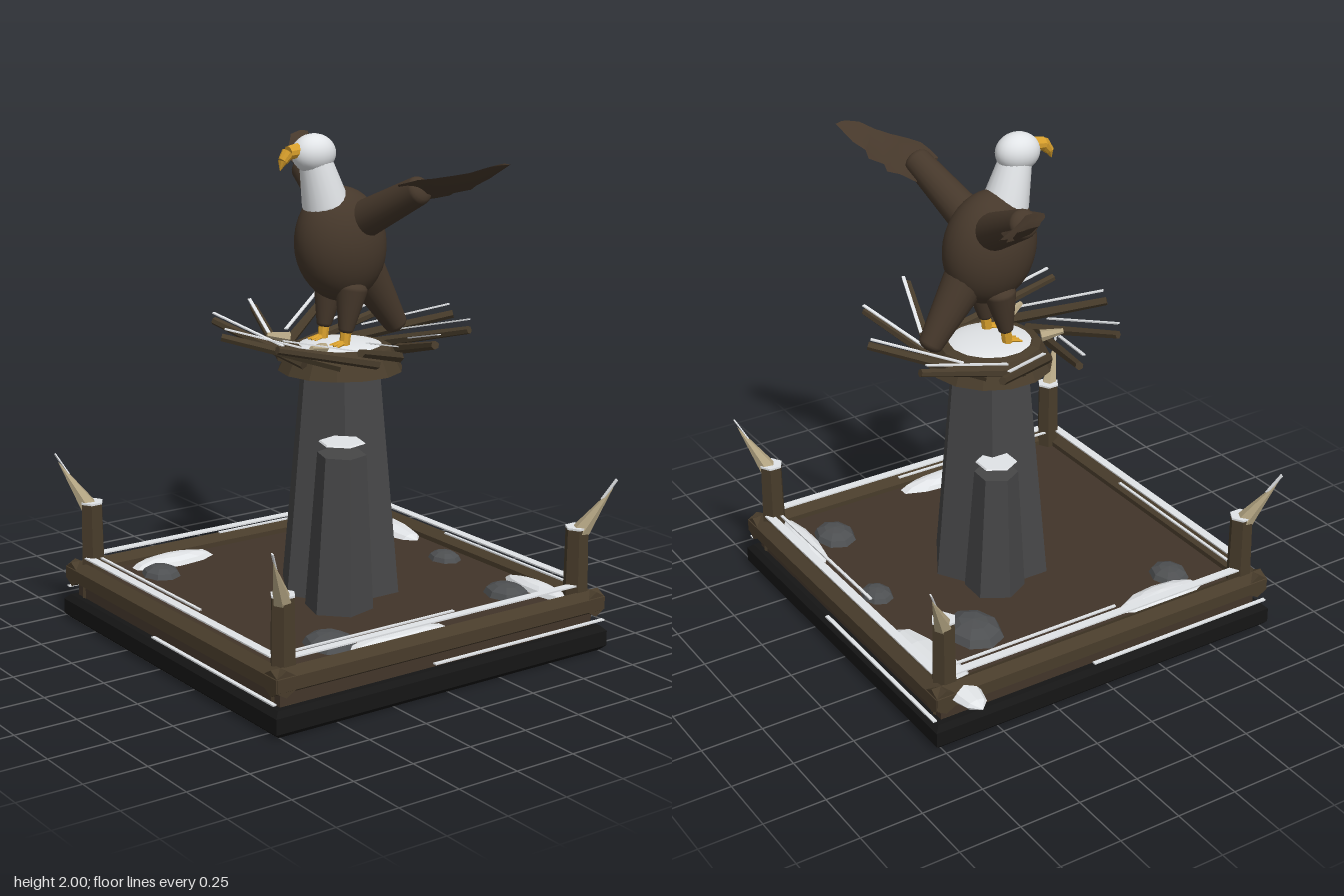
import * as THREE from 'three';
import { toCreasedNormals } from 'three/addons/utils/BufferGeometryUtils.js';

const material = (name, color) => Object.assign(new THREE.MeshStandardMaterial({ color }), { name });
const V = (x, y, z) => new THREE.Vector3(x, y, z);
const flat = (geo) => toCreasedNormals(geo, 0.01);

export function createModel() {
  const model = new THREE.Group();
  const M = {
    slab: material('black stone', 0x151515), soil: material('soil', 0x42352a),
    wood: material('wood', 0x483c2b), stone: material('stone', 0x464647),
    rock: material('rock', 0x4e5052), snow: material('snow white', 0xeef1f4),
    feather: material('brown feathers', 0x46382b), beak: material('yellow', 0xd9a02c),
    bone: material('bone', 0xb5a684),
  };
  const add = (name, geo, mat, pos = V(0, 0, 0), parent = model) => {
    const m = new THREE.Mesh(geo, mat);
    m.name = name;
    m.position.copy(pos);
    parent.add(m);
    return m;
  };
  // Stand a y-aligned mesh between two points
  const aim = (m, p, q) => {
    m.position.copy(p).lerp(q, 0.5);
    m.quaternion.setFromUnitVectors(V(0, 1, 0), q.clone().sub(p).normalize());
    return m;
  };
  // Straight faceted stick or cone
  const stick = (name, p, q, r0, r1, sides, mat, parent) =>
    aim(add(name, flat(new THREE.CylinderGeometry(r1, r0, p.distanceTo(q), sides)), mat, p, parent), p, q);
  // Smooth limb with rounded ends
  const limb = (name, p, q, r0, r1, mat, parent) => {
    const h = p.distanceTo(q) / 2, pts = [];
    for (let i = 0; i <= 5; i++) {
      const a = (i / 5 - 1) * Math.PI / 2;
      pts.push(new THREE.Vector2(r0 * Math.cos(a), -h + r0 * 0.6 * Math.sin(a)));
    }
    for (let i = 0; i <= 5; i++) {
      const a = (i / 5) * Math.PI / 2;
      pts.push(new THREE.Vector2(Math.max(0, r1 * Math.cos(a)), h + r1 * 0.6 * Math.sin(a)));
    }
    return aim(add(name, new THREE.LatheGeometry(pts, 20), mat, p, parent), p, q);
  };
  const blob = (name, pos, scale, mat, w = 24, h = 16, parent = model) => {
    const geo = new THREE.SphereGeometry(1, w, h).scale(...scale);
    return add(name, w < 12 ? flat(geo) : geo, mat, pos, parent);
  };
  const strip = (name, w, d, x, y, z) => add(name, new THREE.BoxGeometry(w, 0.006, d), M.snow, V(x, y, z));

  // Bevelled base and soil
  const k = 0.755;
  const square = new THREE.Shape([[-k, -k], [k, -k], [k, k], [-k, k]].map((p) => new THREE.Vector2(...p)));
  const slab = new THREE.ExtrudeGeometry(square, { depth: 0.06, bevelThickness: 0.02, bevelSize: 0.02, bevelSegments: 1 });
  add('baseSlab', slab.rotateX(-Math.PI / 2), M.slab, V(0, 0.02, 0));
  add('soil', new THREE.BoxGeometry(1.46, 0.1, 1.46), M.soil, V(0, 0.15, 0));

  // Rails with snow, one per side
  for (const s of [-1, 1]) {
    const c = 0.725 * s, e = 0.765;
    stick('rail', V(-e, 0.195, c), V(e, 0.195, c), 0.05, 0.05, 6, M.wood).rotateY(Math.PI / 2);
    stick('rail', V(c, 0.195, -e), V(c, 0.195, e), 0.05, 0.05, 6, M.wood);
    strip('railSnow', 1.34, 0.036, 0, 0.27, 0.715 * s);
    strip('railSnow', 0.036, 1.34, 0.705 * s, 0.27, 0);
    strip('lowSnow', 0.83, 0.016, 0.35 * s, 0.13, 0.775 * s);
    strip('lowSnow', 0.016, 0.83, 0.772 * s, 0.13, -0.34 * s);
    strip('innerSnow', 0.8, 0.012, -0.29 * s, 0.268, 0.67 * s);
    strip('innerSnow', 0.012, 0.8, 0.66 * s, 0.268, 0.3 * s);
  }

  // Corner posts with snow caps and outward spikes
  for (const x of [-1, 1]) for (const z of [-1, 1]) {
    const p = V(0.685 * x, 0.1, 0.685 * z);
    stick('post', p, V(p.x, 0.49, p.z), 0.052, 0.046, 6, M.wood);
    stick('postSnow', V(p.x, 0.492, p.z), V(p.x, 0.5, p.z), 0.048, 0.048, 6, M.snow);
    const root = V(0.695 * x, 0.48, 0.695 * z), tip = V(0.775 * x, 0.66, 0.785 * z);
    stick('spike', root, tip, 0.036, 0, 6, M.bone);
    const up = V(0.01 * x, 0.035, 0.01 * z);
    const sliver = add('spikeSnow', new THREE.BoxGeometry(0.012, 0.1, 0.005), M.snow);
    aim(sliver, root.clone().lerp(tip, 0.5).add(up), tip.clone().add(up));
  }

  // Rocks and snow drifts: x, z, then half sizes
  for (const [x, z, a, b] of [[-0.43, -0.4, 0.135, 0.11], [-0.005, -0.585, 0.077, 0.062],
    [0.48, -0.51, 0.102, 0.083], [0.54, 0.38, 0.113, 0.098], [-0.505, 0.475, 0.088, 0.076]])
    blob('rock', V(x, 0.2, z), [a, 0.4 * a + 0.005, b], M.rock, 8, 6);
  for (const [x, z, a, b] of [[0.52, -0.64, 0.2, 0.05], [0.645, 0.14, 0.065, 0.24], [-0.62, 0.35, 0.07, 0.19]])
    blob('snowDrift', V(x, 0.2, z), [a, 0.035, b], M.snow, 10, 6);
  const long = new THREE.SphereGeometry(1, 8, 6).rotateZ(Math.PI / 2).scale(0.31, 0.04, 0.085);
  add('longSnowDrift', flat(long), M.snow, V(-0.57, 0.2, -0.64));

  // Stone pillars
  const cz = -0.05;
  stick('mainPillar', V(0, 0.18, cz), V(0, 1.1, cz), 0.255, 0.167, 6, M.stone);
  for (const [x, z, h, r, turn] of [[0.235, 0.11, 0.815, 0.095, 0.25], [-0.2, -0.15, 0.72, 0.085, 0.5]]) {
    stick('sidePillar', V(x * 0.93, 0.18, z), V(x, h, z), r * 1.42, r, 6, M.stone).rotateY(turn);
    stick('pillarSnow', V(x, h + 0.042, z), V(x, h + 0.048, z), r * 0.95, r * 0.9, 6, M.snow).rotateY(turn);
  }

  // Nest ring and snow bed
  const ring = [[0.1, 1.08], [0.245, 1.08], [0.2, 1.17], [0.17, 1.18], [0.1, 1.16]];
  add('nestRing', flat(new THREE.LatheGeometry(ring.map((p) => new THREE.Vector2(...p)), 14)), M.wood, V(0, 0, cz));
  blob('nestSnow', V(0, 1.165, cz), [0.178, 0.03, 0.178], M.snow);

  // Ten twigs in a pinwheel, each with a line of snow
  for (let i = 0; i < 10; i++) {
    const a = (27 + 36 * i) * Math.PI / 180, b = a + 0.49;
    const tip = V(0.5 * Math.cos(a), 1.25, cz + 0.5 * Math.sin(a));
    const root = V(tip.x - 0.45 * Math.cos(b), 1.14, tip.z - 0.45 * Math.sin(b));
    stick('twig', root, tip, 0.022, 0.016, 6, M.wood);
    const shift = V(0.02 * Math.sin(b), 0.04, -0.02 * Math.cos(b));
    const line = new THREE.Group();
    line.name = 'twigSnow';
    line.position.copy(root).lerp(tip, 0.58).add(shift);
    line.lookAt(tip.clone().add(shift));
    add('snowLine', new THREE.BoxGeometry(0.014, 0.005, 0.36), M.snow, V(0, 0, 0), line);
    model.add(line);
  }

  // Bird: body, tail, neck, head
  const bird = new THREE.Group();
  bird.name = 'bird';
  model.add(bird);
  blob('body', V(0, 1.57, -0.05), [0.149, 0.225, 0.19], M.feather, 28, 20, bird).rotation.x = 0.2;
  limb('tail', V(0, 1.46, -0.16), V(0, 1.23, -0.315), 0.085, 0.048, M.feather, bird);
  limb('neck', V(0, 1.735, 0.022), V(0, 1.9, 0.068), 0.09, 0.062, M.snow, bird);
  blob('head', V(0, 1.925, 0.075), [0.073, 0.075, 0.09], M.snow, 24, 16, bird);

  // Hooked beak
  const hook = [V(0, 1.94, 0.14), V(0, 1.935, 0.19), V(0, 1.905, 0.215), V(0, 1.868, 0.228)];
  [0.03, 0.026, 0.019].forEach((r, i) =>
    stick('beak', hook[i], hook[i + 1], r, [0.026, 0.019, 0][i], 10, M.beak, bird));

  // Legs, feet and toes
  for (const s of [-1, 1]) {
    const x = 0.073 * s;
    limb('thigh', V(x, 1.4, -0.05), V(x, 1.25, -0.025), 0.062, 0.03, M.feather, bird);
    stick('foot', V(x, 1.17, -0.015), V(x, 1.25, -0.025), 0.02, 0.022, 8, M.beak, bird);
    for (const t of [-0.5, 0, 0.5])
      stick('toe', V(x, 1.2, -0.015), V(x + 0.05 * t, 1.19, 0.035), 0.014, 0.004, 6, M.beak, bird);
    stick('boneShard', V(0.115 * s, 1.2, 0.11), V(0.15 * s, 1.215, 0.19), 0.024, 0.01, 6, M.bone);
  }

  // Wing blade: front edge and ragged rear edge, joined into lens-shaped sections
  const front = [[0.32, 1.83, -0.08], [0.38, 1.845, -0.08], [0.43, 1.86, -0.09], [0.48, 1.868, -0.12],
    [0.53, 1.88, -0.17], [0.58, 1.893, -0.21], [0.63, 1.915, -0.25], [0.645, 1.925, -0.3]];
  const rear = [[0.3, 1.76, -0.19], [0.37, 1.775, -0.22], [0.4, 1.785, -0.26], [0.44, 1.8, -0.25],
    [0.49, 1.815, -0.29], [0.53, 1.835, -0.28], [0.57, 1.865, -0.315], [0.645, 1.92, -0.345]];
  const pos = [], idx = [], n = front.length;
  front.forEach((f, i) => {
    const t = 0.03 * (1 - i / (n - 1)) + 0.003, r = rear[i];
    const mid = f.map((v, j) => 0.6 * v + 0.4 * r[j]);
    pos.push(...f, mid[0], mid[1] + t, mid[2], ...r, mid[0], mid[1] - t, mid[2]);
    if (i < n - 1) for (let j = 0; j < 4; j++) {
      const a = 4 * i + j, b = 4 * i + (j + 1) % 4;
      idx.push(a, a + 4, b, b, a + 4, b + 4);
    }
  });
  const e = 4 * (n - 1);
  idx.push(0, 1, 2, 0, 2, 3, e, e + 2, e + 1, e, e + 3, e + 2);
  const blade = new THREE.BufferGeometry();
  blade.setAttribute('position', new THREE.Float32BufferAttribute(pos, 3));
  blade.setIndex(idx);
  const bladeGeo = toCreasedNormals(blade, 0.7);
  for (const s of [-1, 1]) {
    const wing = new THREE.Group();
    wing.name = s > 0 ? 'leftWing' : 'rightWing';
    wing.scale.x = s;
    bird.add(wing);
    limb('upperWing', V(0.07, 1.66, -0.09), V(0.37, 1.81, -0.14), 0.075, 0.055, M.feather, wing);
    add('wingFeathers', bladeGeo, M.feather, V(0, 0, 0), wing);
  }

  model.position.x = 0.05;
  const root = new THREE.Group();
  root.name = 'birdOnPillar';
  root.add(model);
  return root;
}
